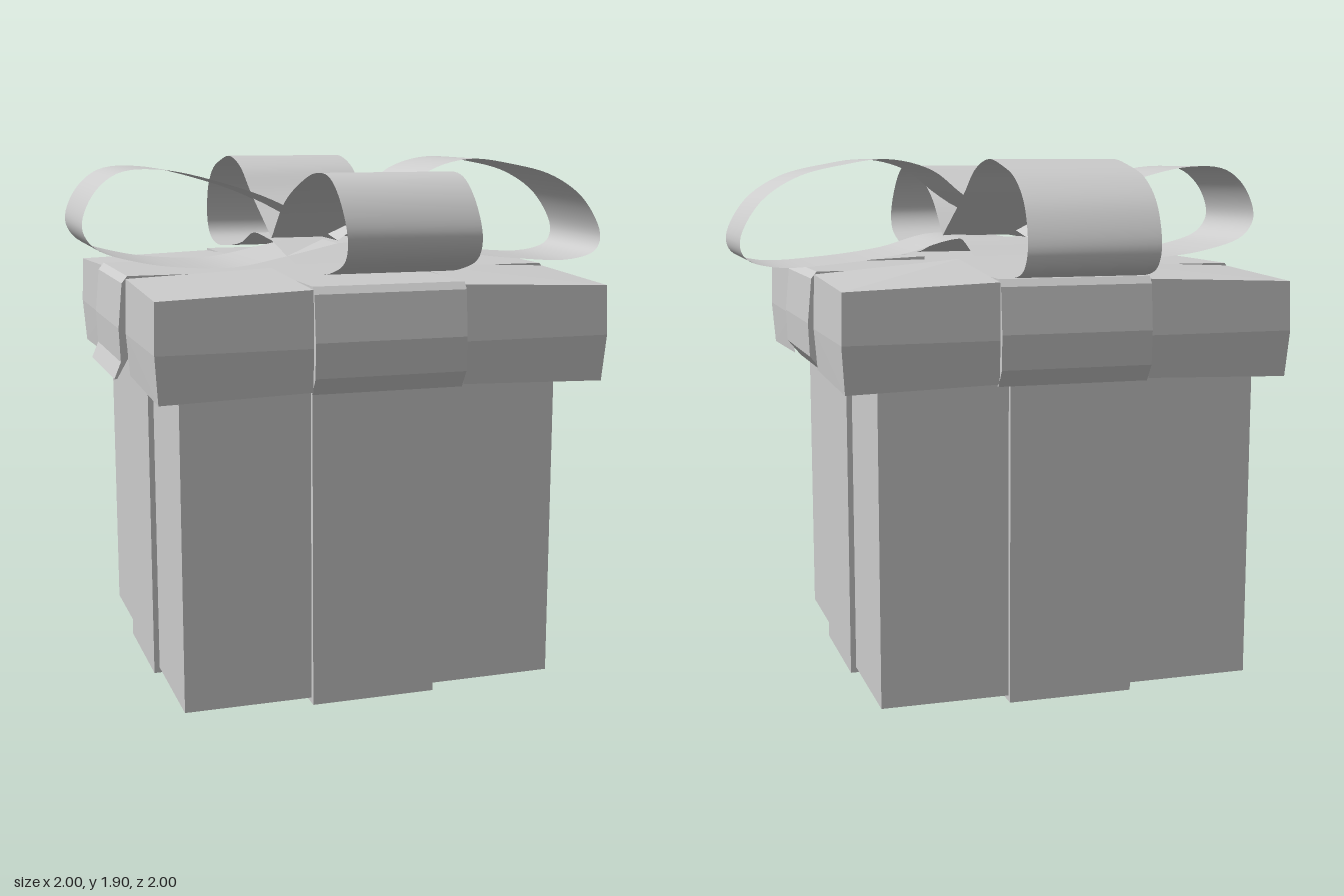
import * as THREE from 'three';
import { toCreasedNormals } from 'three/addons/utils/BufferGeometryUtils.js';

const flat = new THREE.MeshStandardMaterial({ color: 0xcccccc, flatShading: true, side: THREE.DoubleSide });
const smooth = new THREE.MeshStandardMaterial({ color: 0xcccccc, side: THREE.DoubleSide });

function add(parent, name, geometry, material = flat) {
  const mesh = new THREE.Mesh(geometry, material);
  mesh.name = name;
  parent.add(mesh);
  return mesh;
}

// box given by its limits on each axis
function block([x0, x1], [y0, y1], [z0, z1]) {
  return new THREE.BoxGeometry(x1 - x0, y1 - y0, z1 - z0)
    .translate((x0 + x1) / 2, (y0 + y1) / 2, (z0 + z1) / 2);
}

// surface joining equal rows of points
function sheet(rows) {
  const n = rows[0].length, index = [];
  for (let r = 0; r < rows.length - 1; r++) {
    for (let i = 0; i < n - 1; i++) {
      const a = r * n + i, b = a + n;
      index.push(a, a + 1, b + 1, a, b + 1, b);
    }
  }
  const g = new THREE.BufferGeometry();
  g.setAttribute('position', new THREE.Float32BufferAttribute(rows.flat(2), 3));
  g.setIndex(index);
  const out = g.toNonIndexed();
  out.computeVertexNormals();
  return out;
}

// body with a ribbon wrapped both ways, slightly proud of the faces
function buildBox() {
  const box = new THREE.Group();
  box.name = 'box';
  add(box, 'boxBody', block([-0.755, 0.62], [0.02, 1.42], [-0.695, 0.66]));
  add(box, 'boxRibbonFrontBack', block([-0.295, 0.16], [0, 1.42], [-0.715, 0.68]));
  add(box, 'boxRibbonSides', block([-0.775, 0.64], [0, 1.42], [-0.25, 0.205]));
  return box;
}

// one quarter of the lid: outer walls, sloped top and the step down to the ribbon
function lidCorner(lid, ix, ox, iz, oz, peak) {
  const sx = Math.sign(ox), sz = Math.sign(oz);
  const ring = (y, inset, yEdge = y) => [
    [ix, yEdge, oz - sz * inset],
    [ox - sx * inset, y, oz - sz * inset],
    [ox - sx * inset, yEdge, iz],
  ];
  const inner = [ix, peak, iz];
  const top = ring(1.475, 0.005, 1.495);
  add(lid, 'lidCorner', sheet([ring(1.135, 0.012, 1.15), ring(1.3, 0), top, [inner, inner, inner]]));
  const rim = [top[0], inner, top[2]];
  add(lid, 'lidCornerStep', sheet([rim, rim.map(([x, y, z]) => [x, y - 0.06, z])]));
}

// ribbon over the lid, drawn as a thick U and extruded; lipA, lipB bend the ends
function lidStrap(a, b, width, lipA, lipB) {
  const t = 0.03;
  const pts = [
    [a + lipA, 1.14], [a + 0.005, 1.2], [a, 1.32], [a + 0.015, 1.48], [a + 0.035, 1.505],
    [b - 0.035, 1.505], [b - 0.015, 1.48], [b, 1.32], [b - 0.005, 1.2], [b - lipB, 1.14],
    [b - lipB - 0.01, 1.14], [b - t, 1.21], [b - t - 0.01, 1.47],
    [a + t + 0.01, 1.47], [a + t, 1.21], [a + lipA + 0.01, 1.14],
  ];
  const shape = new THREE.Shape(pts.map(([u, v]) => new THREE.Vector2(u, v)));
  return new THREE.ExtrudeGeometry(shape, { depth: width, bevelEnabled: false });
}

function buildLid() {
  const lid = new THREE.Group();
  lid.name = 'lid';
  for (const [ix, ox] of [[-0.325, -0.86], [0.215, 0.755]]) {
    for (const [iz, oz] of [[-0.25, -0.78], [0.27, 0.8]]) {
      lidCorner(lid, ix, ox, iz, oz, ix > 0 && iz < 0 ? 1.54 : 1.518);
    }
  }
  const sides = add(lid, 'lidRibbonSides', lidStrap(-0.885, 0.775, 0.52, -0.02, 0.055));
  sides.position.z = -0.25;
  const frontBack = add(lid, 'lidRibbonFrontBack',
    lidStrap(-0.82, 0.8, 0.54, 0.045, 0.045).rotateY(Math.PI / 2));
  frontBack.position.x = -0.325;
  return lid;
}

// loop profiles: distance out from the model's centre, height
const lowLoop = [
  [0.28, 1.745], [0.5, 1.825], [0.72, 1.872], [0.87, 1.86], [0.96, 1.785], [1, 1.675],
  [0.96, 1.605], [0.8, 1.55], [0.6, 1.525], [0.45, 1.525], [0.28, 1.555],
];
const tallLoop = [
  [0.18, 1.77], [0.3, 1.86], [0.46, 1.9], [0.63, 1.88], [0.8, 1.835], [0.93, 1.745],
  [1, 1.61], [0.98, 1.55], [0.88, 1.517], [0.65, 1.525], [0.4, 1.558], [0.2, 1.61],
];

// bow loop along x: smooth band swept across z, leaning as it rises
function loopBand(profile, sign, knot, z0, z1, lean) {
  const pts = [[sign * knot, 1.61], ...profile, [sign * knot, 1.6]];
  const curve = new THREE.CatmullRomCurve3(pts.map(([d, y]) => new THREE.Vector3(sign * d, y, 0)));
  const row = (z) => curve.getPoints(72).map((p) => [p.x, p.y, z + lean * (1.9 - p.y) / 0.38]);
  return toCreasedNormals(sheet([row(z0), row(z1)]), 0.8);
}

function buildBow() {
  const bow = new THREE.Group();
  bow.name = 'bow';
  add(bow, 'leftwardLoop', loopBand(tallLoop, 1, -0.07, -0.205, 0.235, 0.035), smooth);
  add(bow, 'rightwardLoop', loopBand(lowLoop, -1, -0.07, -0.205, 0.235, 0.035), smooth);
  // turned so +x becomes -z and +z becomes +x
  const quarter = Math.PI / 2;
  add(bow, 'backLoop', loopBand(tallLoop, 1, -0.07, -0.295, 0.165, 0.035).rotateY(quarter), smooth);
  add(bow, 'frontLoop', loopBand(lowLoop, -1, -0.07, -0.295, 0.165, 0.035).rotateY(quarter), smooth);
  return bow;
}

export function createModel() {
  const model = new THREE.Group();
  model.name = 'giftBox';
  model.add(buildBox(), buildLid(), buildBow());
  return model;
}
